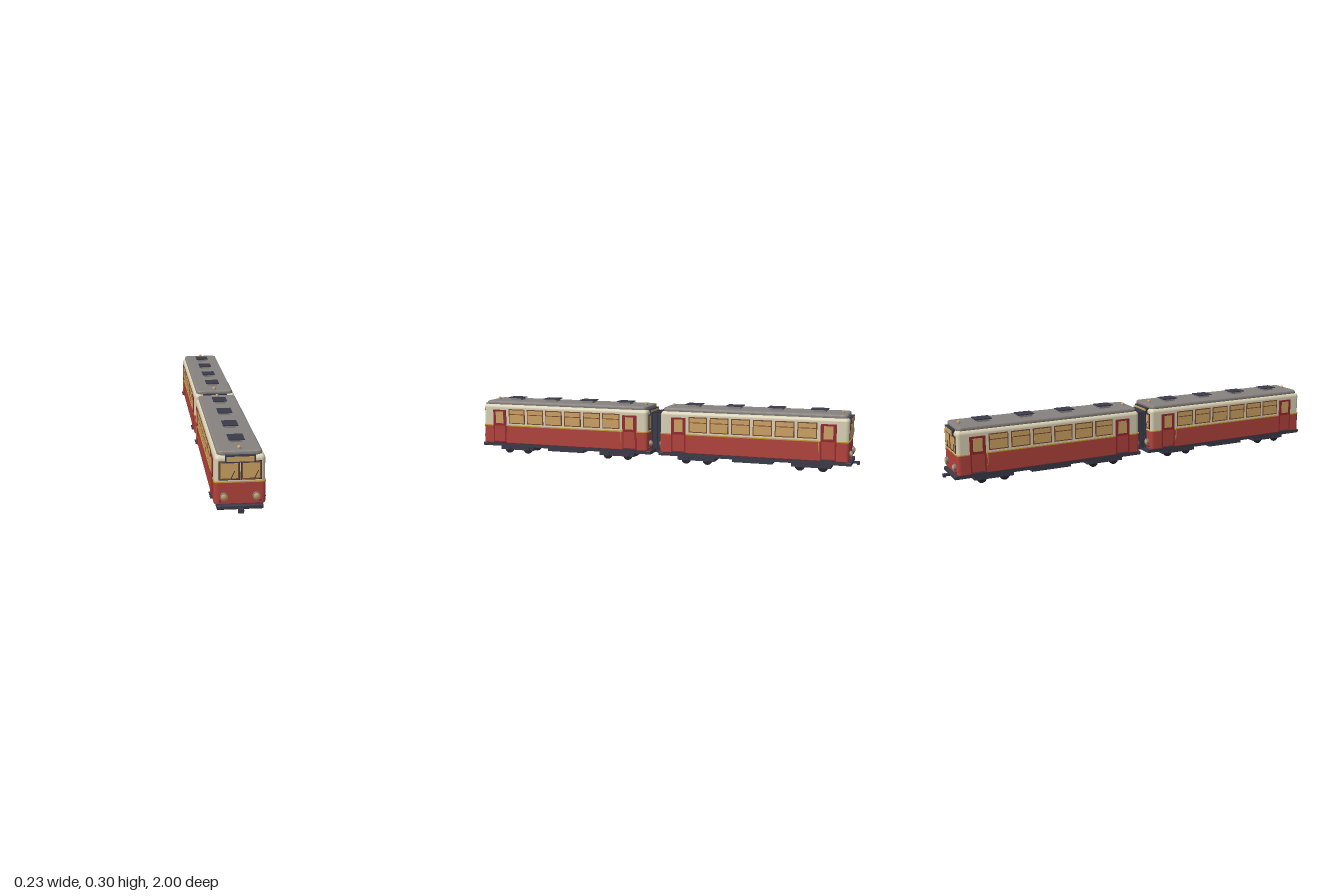
import * as THREE from 'three';
import { RoundedBoxGeometry } from 'three/addons/geometries/RoundedBoxGeometry.js';

const mat = (name, color) => new THREE.MeshStandardMaterial({ name, color });

export function createModel() {
  const red = mat('red paint', 0xb2423c);
  const cream = mat('cream paint', 0xd9d1b4);
  const grey = mat('roof grey', 0x87827f);
  const dark = mat('dark metal', 0x3a3a4a);
  const glass = mat('warm glass', 0xcda262);
  const brown = mat('wood frame', 0x7c4a30);
  const gold = mat('gold trim', 0xc4a032);
  const crimson = mat('door crimson', 0x932830);
  const black = mat('black rubber', 0x222228);

  function add(parent, name, geometry, material, x = 0, y = 0, z = 0) {
    const m = new THREE.Mesh(geometry, material);
    m.name = name;
    m.position.set(x, y, z);
    parent.add(m);
    return m;
  }
  const box = (p, name, material, w, h, d, x, y, z) =>
    add(p, name, new THREE.BoxGeometry(w, h, d), material, x, y, z);

  // Rounded plan outline raised from y0 to y1
  function slab(p, name, material, hw, hl, r, y0, y1, bevel = 0) {
    const a = hw - bevel, b = hl - bevel;
    const s = new THREE.Shape();
    s.moveTo(-a + r, -b);
    s.lineTo(a - r, -b);
    s.quadraticCurveTo(a, -b, a, -b + r);
    s.lineTo(a, b - r);
    s.quadraticCurveTo(a, b, a - r, b);
    s.lineTo(-a + r, b);
    s.quadraticCurveTo(-a, b, -a, b - r);
    s.lineTo(-a, -b + r);
    s.quadraticCurveTo(-a, -b, -a + r, -b);
    const g = new THREE.ExtrudeGeometry(s, {
      depth: y1 - y0 - 2 * bevel, curveSegments: 6, bevelEnabled: bevel > 0,
      bevelSize: bevel, bevelThickness: bevel, bevelSegments: 3,
    });
    g.rotateX(-Math.PI / 2);
    return add(p, name, g, material, 0, y0 + bevel, 0);
  }

  // Cab end, built facing +z
  function makeEnd() {
    const end = new THREE.Group();
    end.name = 'cabEnd';
    for (const s of [-1, 1]) {
      box(end, 'windscreenSurround', black, 0.085, 0.079, 0.004, s * 0.0445, 0.2025, 0.461);
      box(end, 'windscreenFrame', brown, 0.081, 0.075, 0.004, s * 0.0445, 0.2025, 0.462);
      box(end, 'windscreen', glass, 0.069, 0.063, 0.004, s * 0.0445, 0.2025, 0.463);
      const rim = add(end, 'headlightRim', new THREE.CylinderGeometry(0.016, 0.016, 0.012, 24), grey, s * 0.066, 0.095, 0.466);
      rim.rotation.x = Math.PI / 2;
      const lens = add(end, 'headlightLens', new THREE.SphereGeometry(0.012, 20, 10), glass, s * 0.066, 0.095, 0.472);
      lens.scale.z = 0.4;
      const tail = add(end, 'tailLamp', new THREE.CylinderGeometry(0.005, 0.005, 0.008, 12), crimson, s * 0.082, 0.075, 0.464);
      tail.rotation.x = Math.PI / 2;
      const wiper = box(end, 'wiper', black, 0.0022, 0.036, 0.002, s * 0.0445 + 0.0145, 0.186, 0.467);
      wiper.position.x = s > 0 ? 0.065 : -0.03;
      wiper.rotation.z = -0.45;
    }
    box(end, 'destinationBox', dark, 0.122, 0.03, 0.022, 0, 0.252, 0.457);
    box(end, 'destinationPanel', glass, 0.112, 0.021, 0.002, 0, 0.252, 0.4685);
    add(end, 'bumper', new RoundedBoxGeometry(0.19, 0.018, 0.03, 2, 0.004), dark, 0, 0.05, 0.46);
    box(end, 'couplerShaft', dark, 0.016, 0.01, 0.07, 0, 0.045, 0.465);
    box(end, 'couplerHead', dark, 0.023, 0.014, 0.012, 0, 0.043, 0.499);
    add(end, 'roofLamp', new THREE.SphereGeometry(0.008, 16, 10), glass, 0, 0.287, 0.42);
    const collar = add(end, 'roofLampBase', new THREE.CylinderGeometry(0.009, 0.01, 0.004, 16), grey, 0, 0.283, 0.42);
    collar.castShadow = false;
    return end;
  }

  // Side fittings, built on the +x or -x side
  function makeSide(car, s) {
    const side = new THREE.Group();
    side.name = s > 0 ? 'leftSide' : 'rightSide';
    car.add(side);
    // Passenger windows with a transom bar
    for (let i = 0; i < 6; i++) {
      const z = (i - 2.5) * 0.1065;
      box(side, 'windowFrame', brown, 0.004, 0.077, 0.093, s * 0.1035, 0.204, z);
      box(side, 'windowPane', glass, 0.004, 0.067, 0.083, s * 0.1045, 0.204, z);
      box(side, 'windowTransom', brown, 0.005, 0.004, 0.083, s * 0.105, 0.215, z);
    }
    // Doors, steps
    for (const z of [-0.366, 0.366]) {
      box(side, 'door', crimson, 0.008, 0.174, 0.074, s * 0.104, 0.15, z);
      box(side, 'doorPanel', red, 0.004, 0.082, 0.06, s * 0.1065, 0.112, z);
      box(side, 'doorWindow', glass, 0.004, 0.062, 0.044, s * 0.107, 0.197, z);
      box(side, 'doorStep', dark, 0.02, 0.004, 0.068, s * 0.105, 0.066, z);
    }
    // Curved grab rail in front of the rear door
    const curve = new THREE.CatmullRomCurve3([
      new THREE.Vector3(s * 0.106, 0.098, -0.322), new THREE.Vector3(s * 0.111, 0.108, -0.322),
      new THREE.Vector3(s * 0.1125, 0.13, -0.322), new THREE.Vector3(s * 0.111, 0.152, -0.322),
      new THREE.Vector3(s * 0.106, 0.162, -0.322),
    ]);
    add(side, 'grabRail', new THREE.TubeGeometry(curve, 16, 0.0018, 8), gold);
  }

  // Bogie with four wheels
  function makeBogie(z) {
    const bogie = new THREE.Group();
    bogie.name = 'bogie';
    bogie.position.z = z;
    box(bogie, 'bogieFrame', dark, 0.145, 0.022, 0.19, 0, 0.031, 0);
    for (const dz of [-0.055, 0.055]) {
      const axle = add(bogie, 'axle', new THREE.CylinderGeometry(0.005, 0.005, 0.11, 10), dark, 0, 0.024, dz);
      axle.rotation.z = Math.PI / 2;
      for (const s of [-1, 1]) {
        const wheel = add(bogie, 'wheel', new THREE.CylinderGeometry(0.024, 0.024, 0.009, 24), black, s * 0.055, 0.024, dz);
        wheel.rotation.z = Math.PI / 2;
        box(bogie, 'axleBox', dark, 0.012, 0.018, 0.036, s * 0.073, 0.031, dz);
      }
    }
    return bogie;
  }

  function makeCar(name) {
    const car = new THREE.Group();
    car.name = name;
    // Body shell
    slab(car, 'lowerBody', red, 0.1055, 0.4625, 0.015, 0.06, 0.155, 0.004);
    add(car, 'upperBody', new RoundedBoxGeometry(0.206, 0.146, 0.922, 5, 0.018), cream, 0, 0.193, 0);
    slab(car, 'goldStripe', gold, 0.1065, 0.4635, 0.018, 0.152, 0.157);
    slab(car, 'roof', grey, 0.092, 0.452, 0.014, 0.258, 0.282, 0.009);
    slab(car, 'underframe', dark, 0.095, 0.455, 0.01, 0.042, 0.062);
    box(car, 'equipmentBox', dark, 0.158, 0.017, 0.2, 0, 0.034, 0);
    // Roof vents
    for (let i = 0; i < 4; i++) {
      const z = (i - 1.5) * 0.207;
      box(car, 'ventBase', grey, 0.05, 0.014, 0.06, 0, 0.287, z);
      box(car, 'ventCap', dark, 0.066, 0.004, 0.08, 0, 0.295, z);
    }
    makeSide(car, 1);
    makeSide(car, -1);
    const front = makeEnd(), back = makeEnd();
    back.rotation.y = Math.PI;
    car.add(front, back, makeBogie(0.284), makeBogie(-0.284));
    return car;
  }

  const model = new THREE.Group();
  model.name = 'twoCarTram';
  const lead = makeCar('leadCar'), trail = makeCar('trailCar');
  lead.position.z = 0.495;
  trail.position.z = -0.495;
  model.add(lead, trail);

  // Folded gangway between the cars
  const gangway = new THREE.Group();
  gangway.name = 'gangway';
  box(gangway, 'gangwayCore', dark, 0.108, 0.18, 0.064, 0, 0.157, 0);
  for (let i = -2; i <= 2; i++) box(gangway, 'gangwayFold', dark, 0.118, 0.19, 0.006, 0, 0.157, i * 0.012);
  model.add(gangway);
  return model;
}
